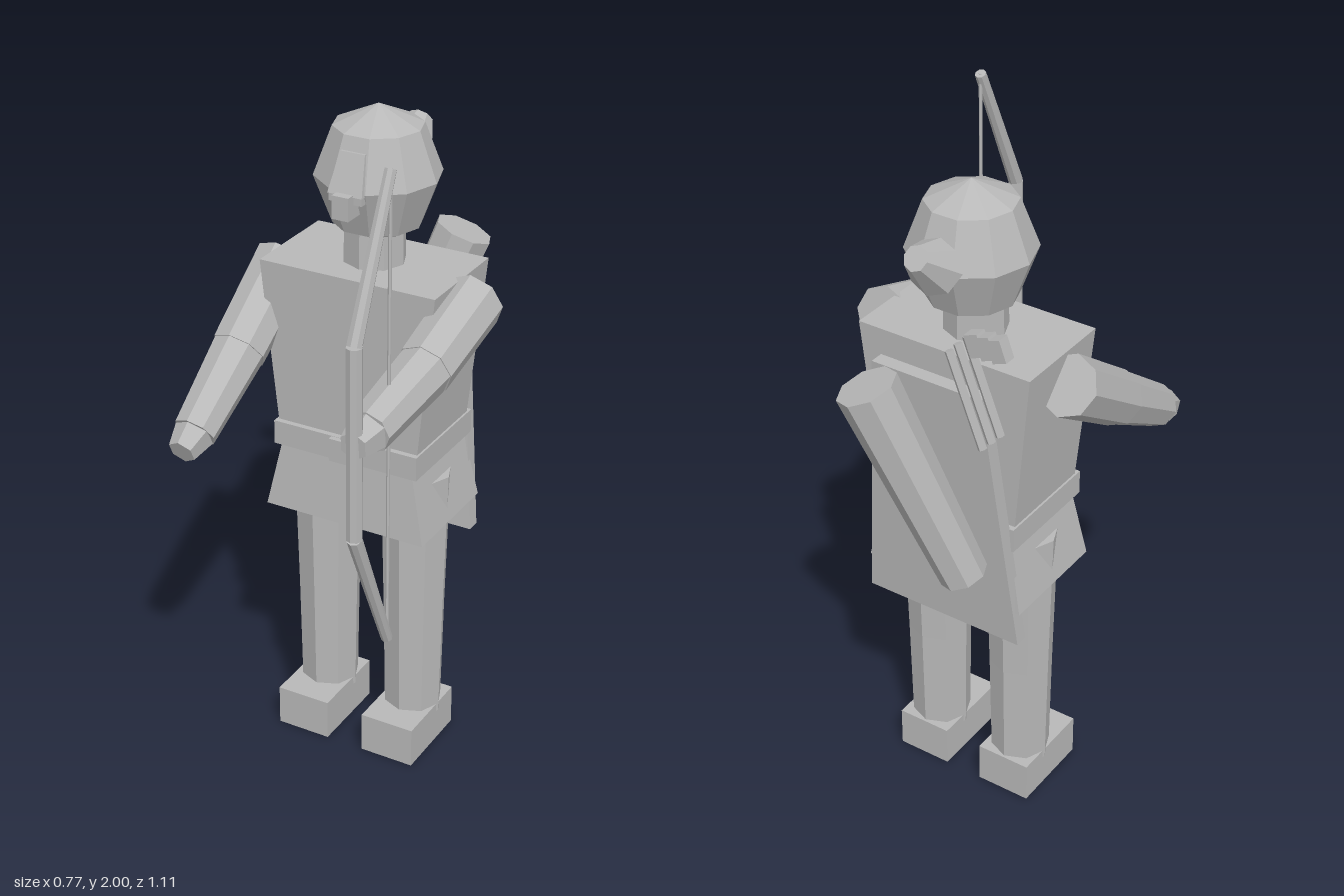
import * as THREE from 'three';

const stone = new THREE.MeshStandardMaterial({ color: 0xb8b8b8, flatShading: true });
stone.name = 'stone grey';

export function createModel() {
  const model = new THREE.Group();
  model.name = 'archer';

  const add = (name, geometry, x = 0, y = 0, z = 0) => {
    const mesh = new THREE.Mesh(geometry, stone);
    mesh.name = name;
    mesh.position.set(x, y, z);
    model.add(mesh);
    return mesh;
  };

  const box = (name, w, h, d, x, y, z) => add(name, new THREE.BoxGeometry(w, h, d), x, y, z);

  // Tapered cylinder running from point a to point b
  const rod = (name, a, b, ra, rb, sides = 8) => {
    const from = new THREE.Vector3(...a), to = new THREE.Vector3(...b);
    const dir = to.clone().sub(from);
    const mid = from.clone().add(to).multiplyScalar(0.5);
    const mesh = add(name, new THREE.CylinderGeometry(rb, ra, dir.length(), sides), mid.x, mid.y, mid.z);
    mesh.quaternion.setFromUnitVectors(new THREE.Vector3(0, 1, 0), dir.normalize());
    return mesh;
  };

  // Box whose ends are given as { y, half width w, front z, back z }
  const taper = (name, bottom, top) => {
    const geo = new THREE.BoxGeometry(1, 1, 1);
    const p = geo.attributes.position;
    for (let i = 0; i < p.count; i++) {
      const end = p.getY(i) > 0 ? top : bottom;
      p.setXYZ(i, Math.sign(p.getX(i)) * end.w, end.y, p.getZ(i) > 0 ? end.front : end.back);
    }
    geo.computeVertexNormals();
    return add(name, geo);
  };

  // Legs and shoes
  for (const [side, s] of [['left', 1], ['right', -1]]) {
    const x = s * 0.143;
    rod(side + 'Thigh', [x, 0.45, -0.095], [x, 0.91, -0.095], 0.093, 0.104);
    rod(side + 'Shin', [x, 0.1, -0.095], [x, 0.45, -0.095], 0.087, 0.093);
    box(side + 'Shoe', 0.168, 0.125, 0.26, x, 0.0625, -0.06);
  }

  // Body
  taper('tunicSkirt', { y: 0.77, w: 0.253, front: 0.073, back: -0.275 }, { y: 0.98, w: 0.208, front: 0.055, back: -0.255 });
  taper('torso', { y: 0.98, w: 0.215, front: 0.05, back: -0.25 }, { y: 1.525, w: 0.27, front: 0.057, back: -0.26 });
  box('belt', 0.455, 0.072, 0.335, 0, 1.007, -0.1);
  box('beltBuckle', 0.08, 0.07, 0.02, 0, 1.007, 0.074);
  rod('neck', [0, 1.5, -0.105], [0, 1.66, -0.105], 0.09, 0.086);

  // Head with brow plate, face band, nose and tied hair
  add('head', new THREE.SphereGeometry(0.177, 10, 4), 0, 1.77, -0.122).scale.y = 1.1;
  taper('browPlate', { y: 1.765, w: 0.052, front: 0.062, back: -0.02 }, { y: 1.87, w: 0.037, front: 0.018, back: -0.04 });
  box('nose', 0.05, 0.066, 0.075, 0, 1.737, 0.048);
  box('faceBand', 0.1, 0.025, 0.03, 0, 1.755, 0.043);
  rod('hairTie', [0, 1.785, -0.278], [0, 1.847, -0.367], 0.08, 0.035);

  // Arms: shoulder, elbow, wrist and hand tip as [y, z]
  const arms = {
    left: [0.297, [1.46, -0.12], [1.375, 0.165], [1.33, 0.465], [1.325, 0.54]],
    right: [-0.297, [1.45, -0.12], [1.275, 0.135], [1.125, 0.365], [1.095, 0.43]],
  };
  for (const [side, [x, ...joints]] of Object.entries(arms)) {
    const [shoulder, elbow, wrist, tip] = joints.map(([y, z]) => [x, y, z]);
    rod(side + 'UpperArm', shoulder, elbow, 0.087, 0.08);
    rod(side + 'Forearm', elbow, wrist, 0.077, 0.062);
    rod(side + 'Hand', wrist, tip, 0.058, 0.04, 6);
  }

  // Bow and string
  const bowX = 0.295;
  const bow = [[0.645, 0.352], [1.05, 0.53], [1.595, 0.53], [1.995, 0.352]].map(([y, z]) => [bowX, y, z]);
  rod('bowLowerLimb', bow[0], bow[1], 0.016, 0.021);
  rod('bowGrip', bow[1], bow[2], 0.022, 0.022);
  rod('bowUpperLimb', bow[2], bow[3], 0.021, 0.016);
  rod('bowString', bow[0], bow[3], 0.005, 0.005, 6);

  // Cape and quiver
  taper('cape', { y: 0.665, w: 0.25, front: -0.237, back: -0.278 }, { y: 1.475, w: 0.172, front: -0.297, back: -0.338 });
  rod('quiver', [-0.12, 0.9, -0.345], [0.09, 1.495, -0.47], 0.068, 0.086);

  // Arrow shafts and their feathers
  for (let i = 0; i < 3; i++) {
    const x = -0.17 + i * 0.027, y = 1.695 - i * 0.03;
    rod('arrowShaft', [x - 0.1, y - 0.26, -0.394], [x, y, -0.394], 0.012, 0.012, 6);
    box('arrowFeather', 0.042, 0.062, 0.035, -0.288 + i * 0.033, 1.712 - i * 0.003, -0.423).rotation.z = -0.35;
  }

  return model;
}
